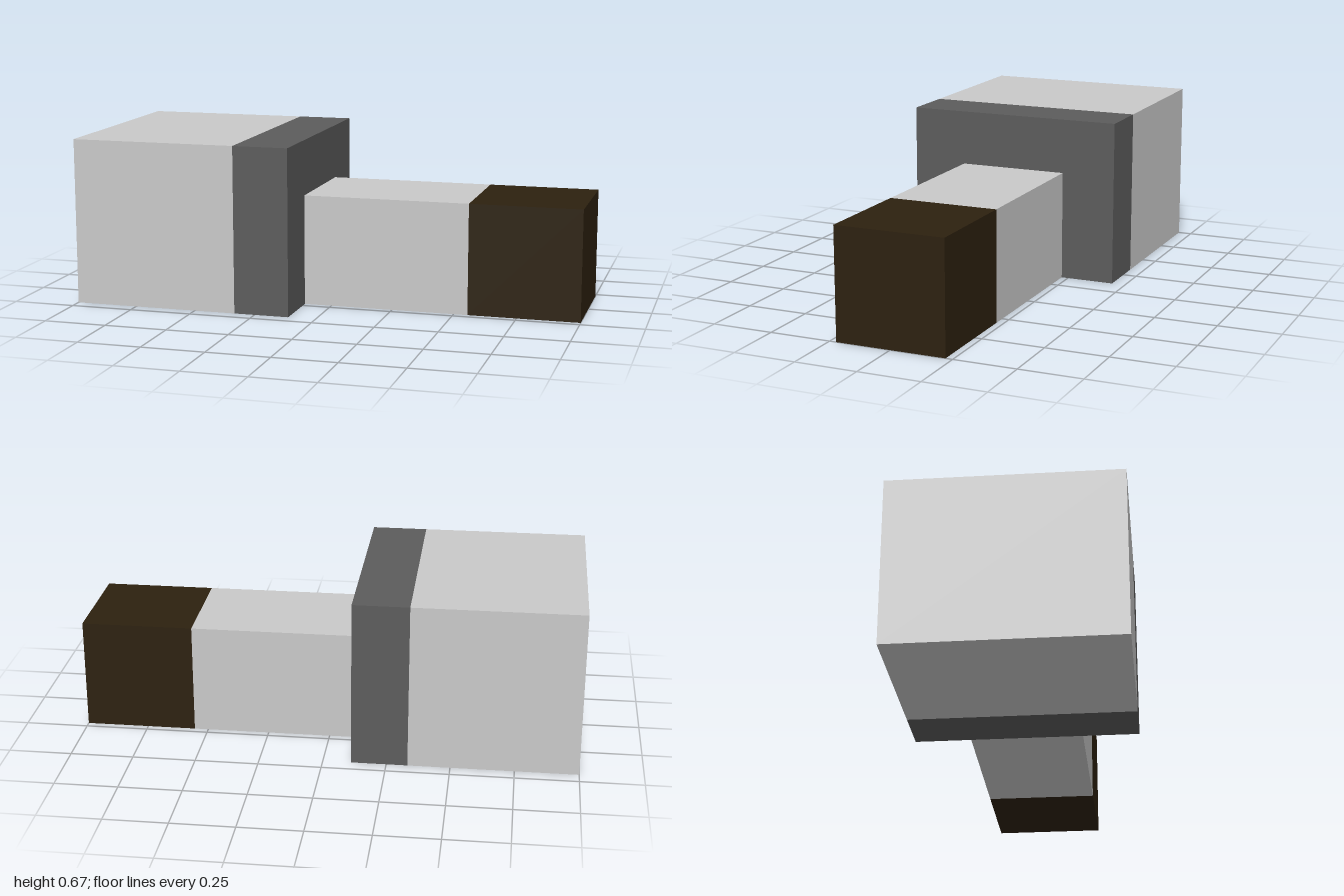
import * as THREE from 'three';

export function createModel() {
  const model = new THREE.Group();
  model.name = 'blockHammer';

  const material = (name, color) => {
    const m = new THREE.MeshStandardMaterial({ color });
    m.name = name;
    return m;
  };
  const lightGrey = material('lightGrey', 0xc9c9c9);
  const darkGrey = material('darkGrey', 0x5c5c5c);
  const darkBrown = material('darkBrown', 0x2d210f);

  // A block spanning x0..x1, standing on the ground and centred in depth
  const block = (name, x0, x1, height, depth, mat) => {
    const mesh = new THREE.Mesh(new THREE.BoxGeometry(x1 - x0, height, depth), mat);
    mesh.name = name;
    mesh.position.set((x0 + x1) / 2, height / 2, 0);
    model.add(mesh);
  };

  const u = 1 / 9; // the model is laid out on a grid of ninths

  // Large head with its dark band
  block('head', -9 * u, -3 * u, 6 * u, 8 * u, lightGrey);
  block('headBand', -3 * u, -1 * u, 6 * u, 8 * u, darkGrey);

  // Narrow shaft with its dark tip
  block('shaft', -1 * u, 5 * u, 4 * u, 4 * u, lightGrey);
  block('shaftTip', 5 * u, 9 * u, 4 * u, 4 * u, darkBrown);

  return model;
}
